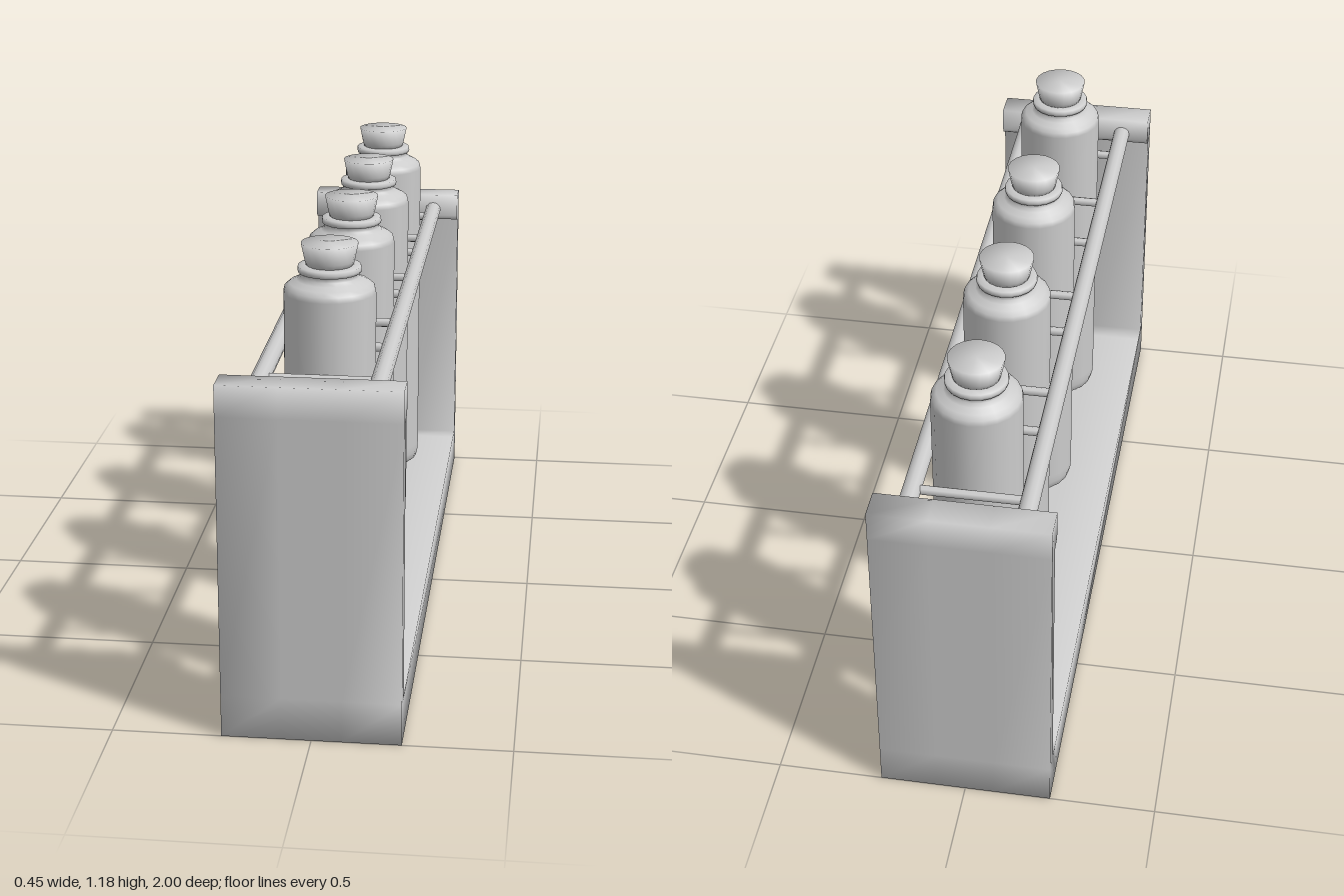
import * as THREE from 'three';
import { mergeVertices } from 'three/addons/utils/BufferGeometryUtils.js';

const grey = new THREE.MeshStandardMaterial({ color: 0xcccccc });

function add(parent, name, geometry, x = 0, y = 0, z = 0) {
  const mesh = new THREE.Mesh(geometry, grey);
  mesh.name = name;
  mesh.position.set(x, y, z);
  parent.add(mesh);
  return mesh;
}

// Share vertices so the shading rolls softly over the edges
function soften(geometry) {
  geometry.deleteAttribute('normal');
  geometry.deleteAttribute('uv');
  const merged = mergeVertices(geometry, 1e-4);
  merged.computeVertexNormals();
  return merged;
}

const lathe = (points, sides = 20) =>
  new THREE.LatheGeometry(points.map(([r, y]) => new THREE.Vector2(r, y)), sides);

export function createModel() {
  const group = new THREE.Group();
  group.name = 'bottleRack';

  // U-shaped frame with a lip at the top of each end; half outline, mirrored
  const half = [
    [0.9, 0], [1, 0], [1, 0.11], [1, 0.84], [1, 0.92], [0.92, 0.92],
    [0.92, 0.855], [0.93, 0.84], [0.956, 0.835], [0.956, 0.11], [0.9, 0.11],
  ];
  const outline = [...half, ...half.map(([z, y]) => [-z, y]).reverse()];
  const width = 0.45;
  const frame = new THREE.ExtrudeGeometry(
    new THREE.Shape(outline.map(([z, y]) => new THREE.Vector2(z, y))),
    { depth: width, steps: 3, bevelEnabled: false });
  frame.translate(0, 0, -width / 2);
  frame.rotateY(-Math.PI / 2);
  add(group, 'frame', soften(frame));

  // Long side rails
  for (const [name, x] of [['leftRail', 0.148], ['rightRail', -0.145]]) {
    const rail = new THREE.CylinderGeometry(0.024, 0.024, 1.86, 12);
    rail.rotateX(Math.PI / 2);
    add(group, name, rail, x, 0.872, 0);
  }

  // Bottle body with rounded foot, shoulder, neck and lip
  const bodyGeometry = lathe([
    [0, 0.115], [0.098, 0.115], [0.109, 0.124], [0.114, 0.145], [0.115, 0.17],
    [0.115, 1.06], [0.112, 1.074], [0.1, 1.084], [0.082, 1.092], [0.074, 1.1],
    [0.072, 1.11], [0.078, 1.111], [0.08, 1.118], [0.078, 1.127], [0.06, 1.129],
    [0, 1.129],
  ]);
  const stopperGeometry = lathe([[0, 1.125], [0.058, 1.125], [0.062, 1.14], [0.071, 1.184], [0, 1.185]]);

  // Bottles, each held between a pair of cross bars
  for (const z of [0.665, 0.182, -0.257, -0.69]) {
    const bottle = new THREE.Group();
    bottle.name = 'bottle';
    bottle.position.set(0.01, 0, z);
    add(bottle, 'bottleBody', bodyGeometry);
    add(bottle, 'stopper', stopperGeometry);
    group.add(bottle);

    for (const side of [-1, 1]) {
      const bar = new THREE.CylinderGeometry(0.012, 0.012, 0.28, 8);
      bar.rotateZ(Math.PI / 2);
      add(group, 'crossBar', bar, 0, 0.872, z - 0.01 + side * 0.135);
    }
  }
  return group;
}
